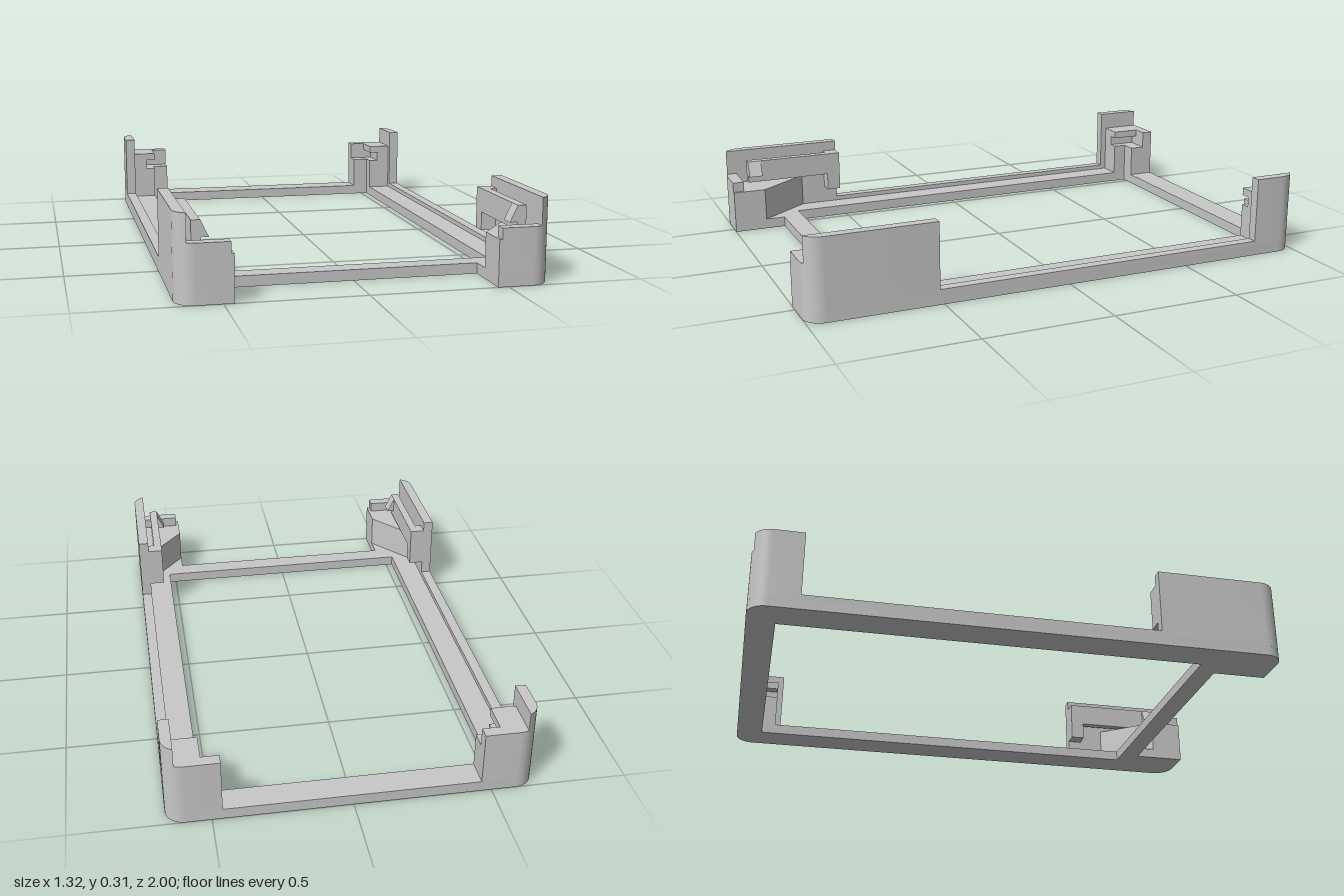
import * as THREE from 'three';
import { toCreasedNormals } from 'three/addons/utils/BufferGeometryUtils.js';

const R = 0.07, W = 0.66, WALL = 0.62, IN = 0.462;

export function createModel() {
  const model = new THREE.Group();
  model.name = 'boardHolder';
  const grey = new THREE.MeshStandardMaterial({ color: 0xc8c8c8 });
  grey.name = 'grey plastic';

  // Points of a rounded outer corner, in plan (x, z); end is +1 front, -1 back
  const corner = (end, a0, a1, n = 8) => Array.from({ length: n + 1 }, (_, i) => {
    const a = a0 + (a1 - a0) * i / n;
    return [W - R + R * Math.cos(a), end * (1 - R + R * Math.sin(a))];
  });
  const cut = Math.acos((WALL - W + R) / R); // where the wall's inner face meets the arc

  // Extrudes a plan outline upward from y0 to y1
  const toShape = (pts, side = 1) => new THREE.Shape(pts.map(([x, z]) => new THREE.Vector2(side * x, -z)));
  function slab(parent, name, shape, y0, y1) {
    const g = new THREE.ExtrudeGeometry(shape, { depth: y1 - y0, bevelEnabled: false });
    g.rotateX(-Math.PI / 2);
    g.translate(0, y0, 0);
    const mesh = new THREE.Mesh(toCreasedNormals(g, 0.6), grey);
    mesh.name = name;
    parent.add(mesh);
  }
  const rect = (x0, x1, z0, z1) => [[x0, z0], [x1, z0], [x1, z1], [x0, z1]];

  // Base frame with an open middle and a notch at the front; the hole winds against the outline
  const half = [
    ...corner(-1, Math.PI / 2, 0), ...corner(1, 0, Math.PI / 2),
    [IN, 1], [IN, 0.793],
  ];
  const mirrored = half.map(([x, z]) => [-x, z]).reverse();
  const base = toShape([...half, ...mirrored]);
  base.holes.push(toShape(rect(-0.527, 0.527, -0.895, 0.715).reverse()));
  slab(model, 'baseFrame', base, 0, 0.04);

  for (const side of [1, -1]) {
    const label = side > 0 ? 'left' : 'right';
    const front = new THREE.Group();
    const back = new THREE.Group();
    front.name = label + 'FrontPost';
    back.name = label + 'BackPost';
    model.add(front, back);
    const add = (parent, name, pts, y0, y1) => slab(parent, name, toShape(pts, side), y0, y1);

    // Raised outer edge of the side rail
    add(model, label + 'RailEdge', rect(WALL, W, -0.815, 0.515), 0.04, 0.058);

    // Front post: outer wall, diagonal shelf, front stop
    const frontArc = corner(1, cut, Math.PI / 2, 4);
    add(front, 'outerWall', [[WALL, 0.515], [W, 0.515], ...corner(1, 0, cut)], 0.04, 0.31);
    add(front, 'shelf', [[WALL, 0.67], ...frontArc, [IN, 1], [IN, 0.87]], 0.04, 0.17);
    add(front, 'frontStop', [[WALL, 0.955], ...frontArc, [0.473, 1], [0.473, 0.955]], 0.17, 0.21);

    // Spring arm, hanging from the wall at its rear end
    add(front, 'armRoot', rect(0.562, WALL, 0.515, 0.57), 0.11, 0.27);
    add(front, 'springArm', rect(0.562, 0.594, 0.57, 0.915), 0.18, 0.27);

    // Snap wedge on the arm's free end
    const wedge = new THREE.ExtrudeGeometry(
      new THREE.Shape([[0.562, 0.27], [0.533, 0.21], [0.562, 0.21]].map(([x, y]) => new THREE.Vector2(side * x, y))),
      { depth: 0.055, bevelEnabled: false });
    wedge.translate(0, 0, 0.86);
    const snap = new THREE.Mesh(wedge, grey);
    snap.name = 'snapWedge';
    front.add(snap);

    // Back post: outer wall, stepped body, slot walls and overhanging cap
    const backArc = corner(-1, Math.PI / 2, cut, 4);
    add(back, 'outerWall', [...corner(-1, cut, 0), [W, -0.815], [WALL, -0.815]], 0.04, 0.31);
    add(back, 'body',
      [[IN, -1], ...backArc, [WALL, -0.84], [0.527, -0.84], [0.527, -0.895], [IN, -0.895]], 0.04, 0.17);
    add(back, 'slotWall',
      [[IN, -1], ...backArc, [WALL, -0.84], [0.565, -0.84], [0.565, -0.955], [IN, -0.955]], 0.17, 0.21);
    add(back, 'cap',
      [[IN, -1], ...backArc, [WALL, -0.84], [0.527, -0.84], [0.527, -0.955], [IN, -0.955]], 0.21, 0.24);
  }
  return model;
}
